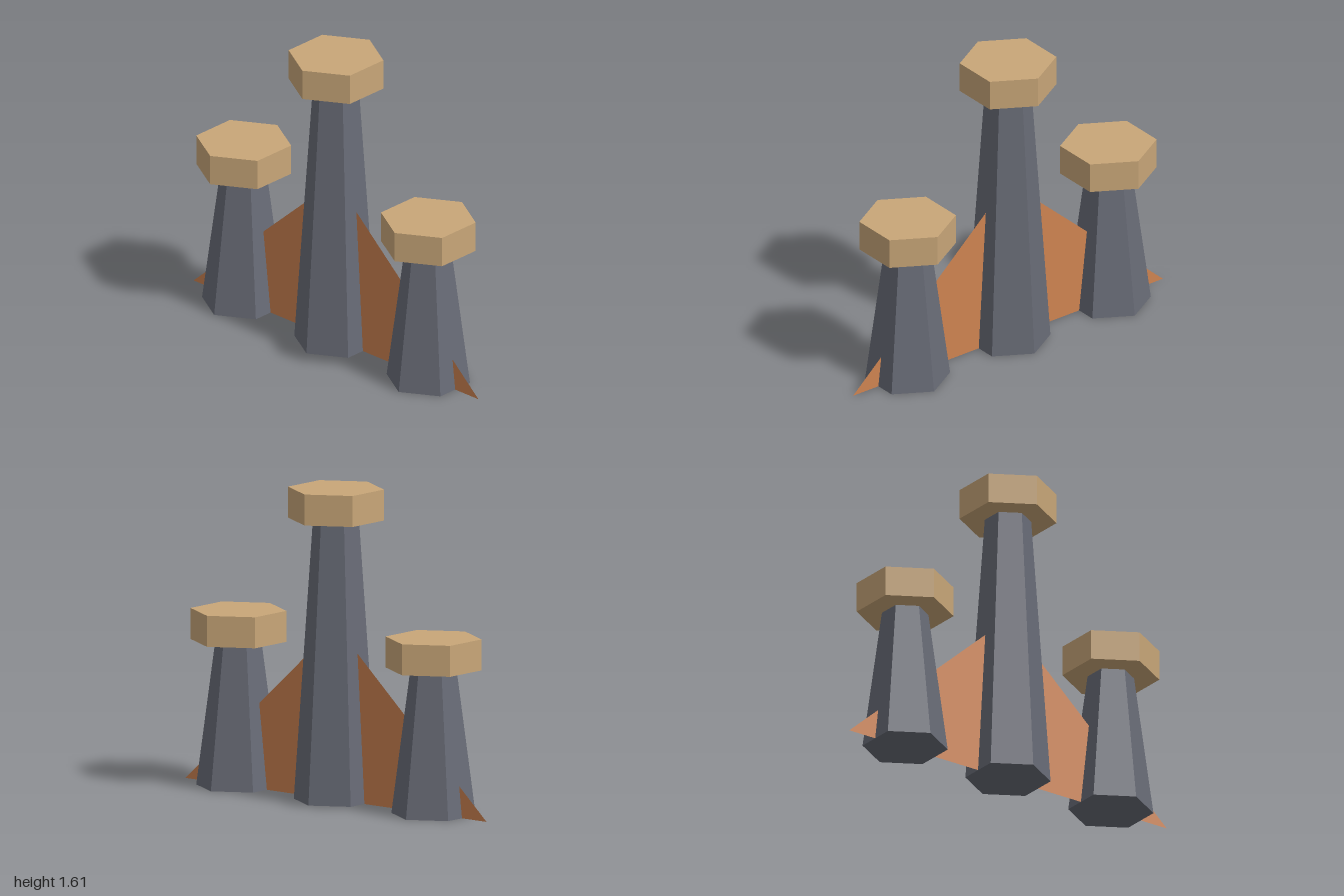
import * as THREE from 'three';

const stone = new THREE.MeshStandardMaterial({ color: 0x686b76, flatShading: true });
stone.name = 'greyStone';
const tan = new THREE.MeshStandardMaterial({ color: 0xc8a678, flatShading: true });
tan.name = 'tanCap';
const orange = new THREE.MeshStandardMaterial({ color: 0xce8351, side: THREE.DoubleSide });
orange.name = 'orangeSheet';

const SIDES = 6;
const CAP_HEIGHT = 0.16;

// Tapered hexagonal column with a wider hexagonal cap
function makeTower(name, x, height) {
  const tower = new THREE.Group();
  tower.name = name;

  const column = new THREE.Mesh(new THREE.CylinderGeometry(0.119, 0.218, height, SIDES), stone);
  column.name = 'column';
  column.position.y = height / 2;

  const cap = new THREE.Mesh(new THREE.CylinderGeometry(0.248, 0.248, CAP_HEIGHT, SIDES), tan);
  cap.name = 'cap';
  cap.position.y = height + CAP_HEIGHT / 2;

  tower.add(column, cap);
  tower.position.x = x;
  return tower;
}

export function createModel() {
  const model = new THREE.Group();
  model.name = 'threeTowers';

  model.add(makeTower('centreTower', 0, 1.45));
  model.add(makeTower('leftTower', 0.648, 0.75));
  model.add(makeTower('rightTower', -0.648, 0.75));

  // Flat triangular sheet running through all three towers
  const triangle = new THREE.Shape([
    new THREE.Vector2(-1, 0),
    new THREE.Vector2(1, 0),
    new THREE.Vector2(0, 0.9),
  ]);
  const sheet = new THREE.Mesh(new THREE.ShapeGeometry(triangle), orange);
  sheet.name = 'triangularSheet';
  model.add(sheet);

  return model;
}
